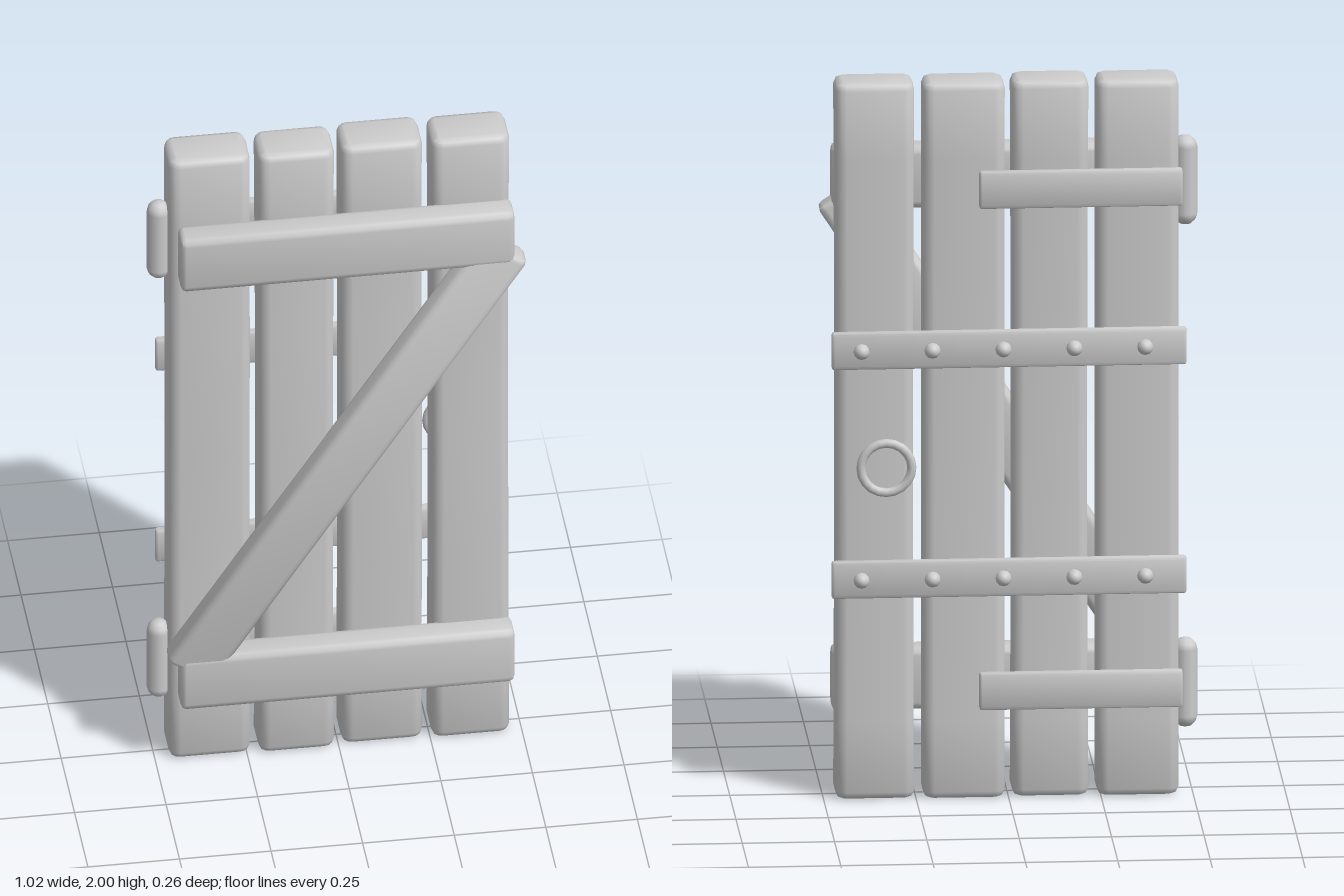
import * as THREE from 'three';
import { mergeVertices, toCreasedNormals } from 'three/addons/utils/BufferGeometryUtils.js';

// Upright bar with rounded edges, centred on the origin; bend moves each vertex
function barGeometry(w, h, d, r, bend) {
  const x = w / 2 - r, z = d / 2 - r, c = Math.min(r, x, z) * 0.6;
  const s = new THREE.Shape();
  s.moveTo(-x + c, -z);
  s.lineTo(x - c, -z);
  s.quadraticCurveTo(x, -z, x, -z + c);
  s.lineTo(x, z - c);
  s.quadraticCurveTo(x, z, x - c, z);
  s.lineTo(-x + c, z);
  s.quadraticCurveTo(-x, z, -x, z - c);
  s.lineTo(-x, -z + c);
  s.quadraticCurveTo(-x, -z, -x + c, -z);
  let g = new THREE.ExtrudeGeometry(s, {
    depth: h - 2 * r, steps: bend ? 10 : 1, curveSegments: 3,
    bevelEnabled: true, bevelSize: r, bevelThickness: r, bevelSegments: 2,
  });
  g.translate(0, 0, -(h - 2 * r) / 2);
  g.rotateX(-Math.PI / 2);
  if (bend) {
    const p = g.attributes.position, v = new THREE.Vector3();
    for (let i = 0; i < p.count; i++) {
      v.fromBufferAttribute(p, i);
      bend(v);
      p.setXYZ(i, v.x, v.y, v.z);
    }
  }
  g.deleteAttribute('uv');
  g.deleteAttribute('normal');
  g = mergeVertices(g, 1e-5);
  return toCreasedNormals(g, 0.8);
}

export function createModel() {
  const door = new THREE.Group();
  door.name = 'plankDoor';
  const grey = new THREE.MeshStandardMaterial({ color: 0xcccccc });
  grey.name = 'plain grey';

  function add(name, geometry, x, y, z, parent = door) {
    const m = new THREE.Mesh(geometry, grey);
    m.name = name;
    m.position.set(x, y, z);
    parent.add(m);
    return m;
  }

  // Four upright planks, hewn slightly uneven
  [[-0.35, 0.222, -0.015], [-0.114, 0.208, -0.007],
    [0.12, 0.222, -0.015], [0.361, 0.214, -0.007]].forEach(([x, w, z], i) => {
    const hew = (v) => {
      const t = Math.cos(v.y * Math.PI / 2);
      v.x *= 1 - 0.025 * t * (i % 2);
      if (v.z < 0) v.z += t * 0.012 * (i === 1 || i === 2 ? 1 : 0.2);
      else v.z += 0.004 * Math.sin(v.y * 4 + i) * t;
    };
    add('plank' + (i + 1), barGeometry(w, 2, 0.137, 0.02, hew), x, 1, z);
  });

  // Front ledges and the diagonal brace
  const ledge = barGeometry(0.174, 0.91, 0.085, 0.014);
  add('upperLedge', ledge, 0.015, 1.705, 0.088).rotation.z = Math.PI / 2;
  add('lowerLedge', ledge, 0.015, 0.303, 0.088).rotation.z = Math.PI / 2;
  add('diagonalBrace', barGeometry(0.15, 1.575, 0.078, 0.014), 0.015, 1.0, 0.09)
    .rotation.z = -Math.atan2(0.86, 1.32);

  // Full-width iron straps with rivets on the back
  const strap = barGeometry(0.104, 0.96, 0.026, 0.006);
  const rivet = new THREE.SphereGeometry(0.022, 12, 6, 0, Math.PI * 2, 0, Math.PI / 2);
  rivet.rotateX(-Math.PI / 2);
  rivet.scale(1, 1, 1.2);
  for (const y of [1.262, 0.622]) {
    const group = new THREE.Group();
    group.name = 'rivetedStrap';
    door.add(group);
    add('strap', strap, 0, y, -0.091, group).rotation.z = Math.PI / 2;
    for (let i = 0; i < 5; i++) add('rivet', rivet, -0.368 + i * 0.192, y, -0.103, group);
  }

  // Short hinge straps with their knuckles on the hanging edge
  const hingeStrap = barGeometry(0.104, 0.55, 0.028, 0.006);
  const knuckle = new THREE.CapsuleGeometry(0.033, 0.185, 3, 12);
  const hingePin = barGeometry(0.05, 0.2, 0.045, 0.008);
  for (const [y, ky] of [[1.705, 1.705], [0.303, 0.3]]) {
    const group = new THREE.Group();
    group.name = 'hinge';
    door.add(group);
    add('hingeStrap', hingeStrap, -0.195, y, -0.088, group).rotation.z = Math.PI / 2;
    add('hingeKnuckle', knuckle, -0.482, ky, -0.015, group);
    add('hingeLeaf', hingePin, -0.465, ky, -0.015, group);
  }

  // Pull ring
  add('pullRing', new THREE.TorusGeometry(0.069, 0.0125, 8, 20), 0.334, 0.94, -0.119);

  return door;
}
